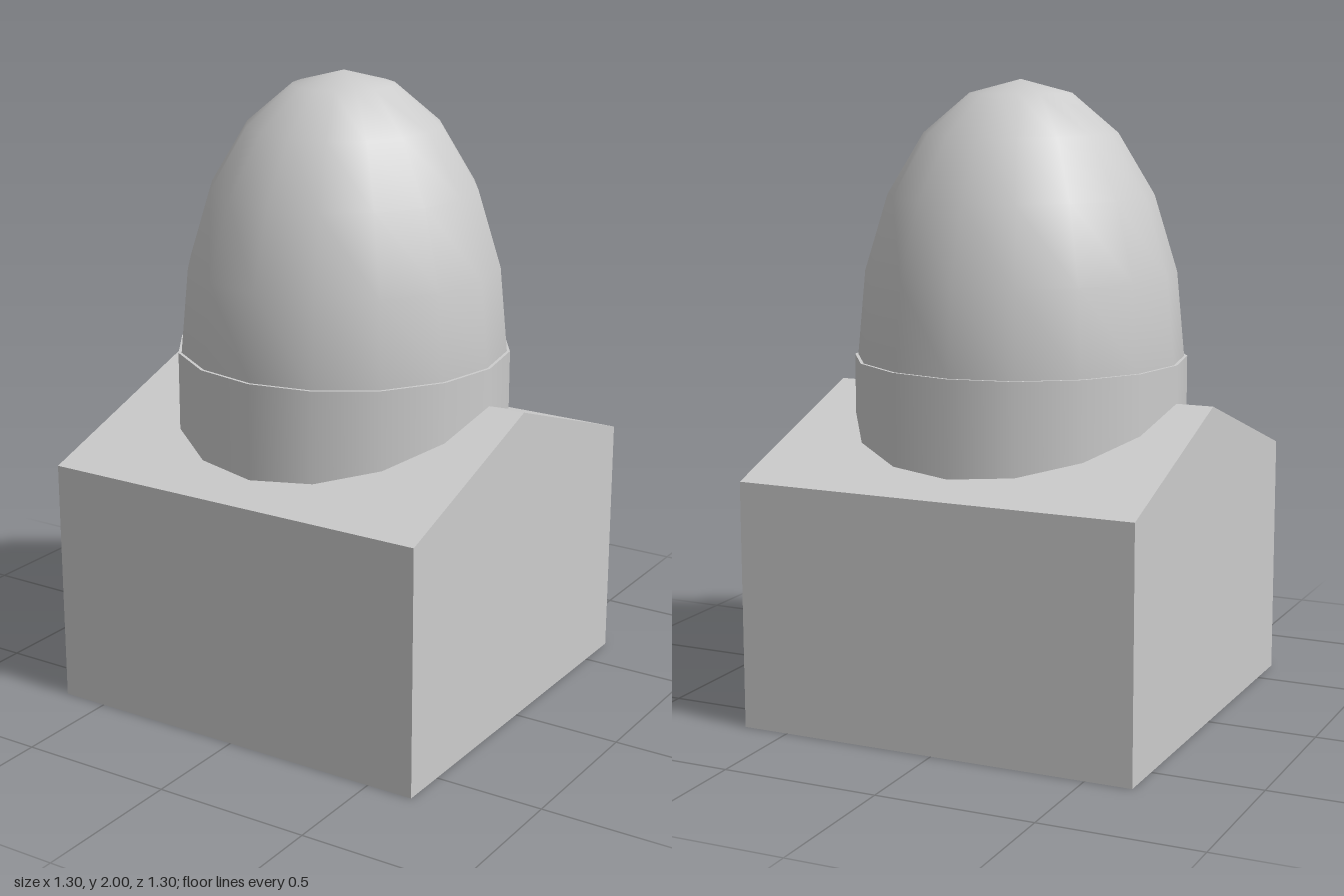
import * as THREE from 'three';

export function createModel() {
  const model = new THREE.Group();
  const grey = new THREE.MeshStandardMaterial({ color: 0xcccccc, side: THREE.DoubleSide });
  grey.name = 'light grey';

  const add = (name, geometry, y = 0) => {
    const mesh = new THREE.Mesh(geometry, grey);
    mesh.name = name;
    mesh.position.y = y;
    model.add(mesh);
    return mesh;
  };

  // Gabled base: a thin shell, open underneath, ridge running along x
  const half = 0.65;
  const section = [[half, 0], [half, 0.785], [0, 1.01], [-half, 0.785], [-half, 0]]; // z, y
  const n = section.length;
  const points = [];
  for (const x of [half, -half]) for (const [z, y] of section) points.push(x, y, z);
  const faces = [];
  // front wall, two roof slopes, back wall
  for (let i = 0; i < n - 1; i++) faces.push(i, i + 1, n + i + 1, i, n + i + 1, n + i);
  // gable ends
  for (let i = 1; i < n - 1; i++) faces.push(0, i + 1, i, n, n + i, n + i + 1);
  const shell = new THREE.BufferGeometry();
  shell.setAttribute('position', new THREE.Float32BufferAttribute(points, 3));
  shell.setIndex(faces);
  const flatShell = shell.toNonIndexed();
  flatShell.computeVertexNormals();
  add('gabledBase', flatShell);

  // Round collar set through the roof
  add('collar', new THREE.CylinderGeometry(0.53, 0.53, 0.34, 16), 0.96);

  // Tall half-ellipsoid dome
  const dome = new THREE.SphereGeometry(1, 16, 5, 0, Math.PI * 2, 0, Math.PI / 2);
  dome.scale(0.52, 0.87, 0.52);
  add('dome', dome, 1.13);

  return model;
}
